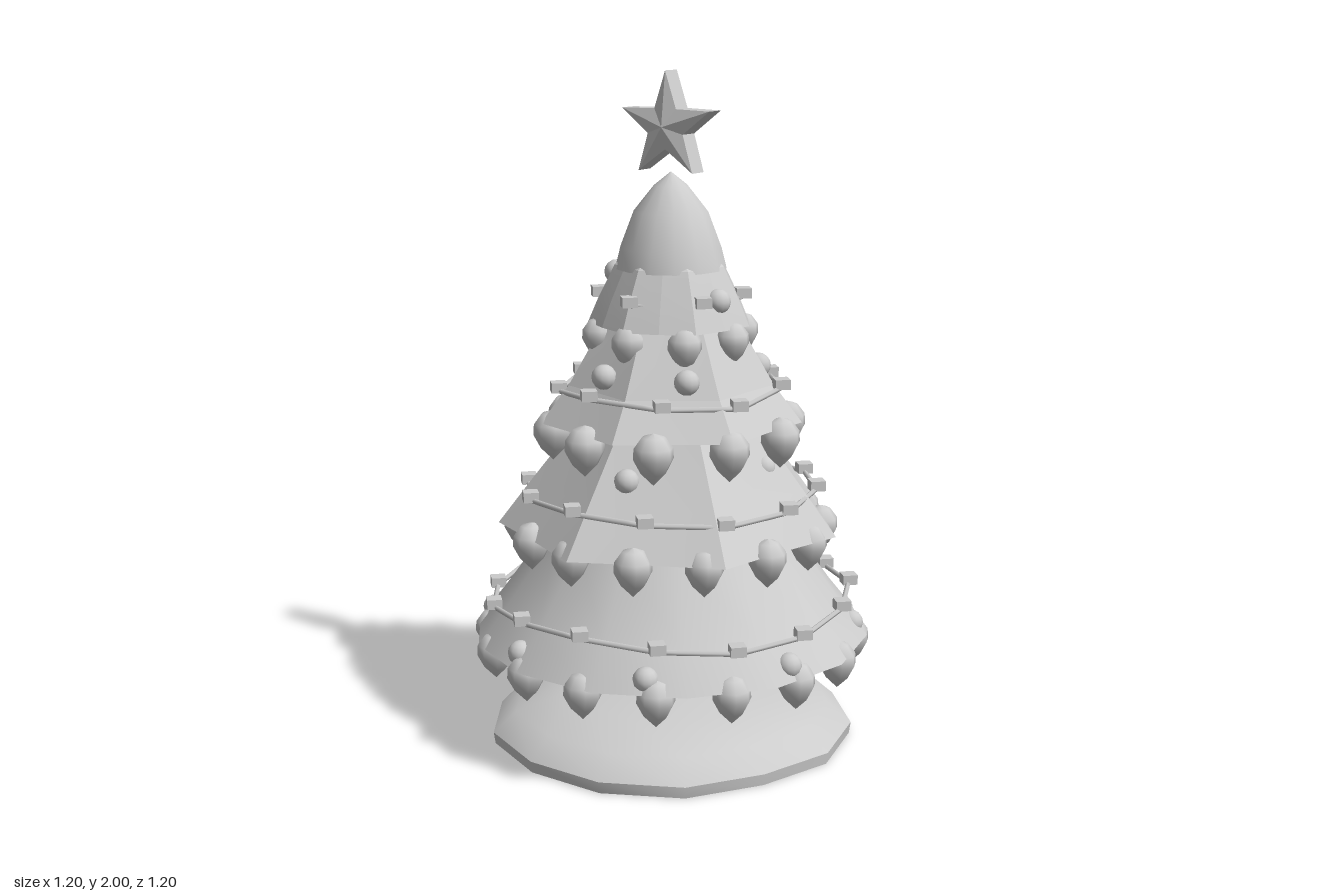
import * as THREE from 'three';
import { toCreasedNormals } from 'three/addons/utils/BufferGeometryUtils.js';

const grey = new THREE.MeshStandardMaterial({ color: 0xcccccc });
grey.name = 'plain grey';

const V2 = (p) => p.map(([r, y]) => new THREE.Vector2(r, y));
const rad = THREE.MathUtils.degToRad;

function add(parent, name, geometry, x = 0, y = 0, z = 0) {
  const mesh = new THREE.Mesh(geometry, grey);
  mesh.name = name;
  mesh.position.set(x, y, z);
  parent.add(mesh);
  return mesh;
}

// Turned shape whose radius varies by a rule of angle and segment index
function turned(profile, sides, phase, radiusRule, crease) {
  const geo = new THREE.LatheGeometry(V2(profile), sides, rad(phase));
  const pos = geo.attributes.position;
  for (let k = 0; k < pos.count; k++) {
    const s = radiusRule(Math.floor(k / profile.length) % sides);
    pos.setX(k, pos.getX(k) * s);
    pos.setZ(k, pos.getZ(k) * s);
  }
  return toCreasedNormals(geo, crease);
}

export function createModel() {
  const tree = new THREE.Group();
  tree.name = 'decoratedTree';

  // Snow mound and trunk
  const mound = [[0, 0], [0.555, 0], [0.56, 0.035], [0.49, 0.095], [0.33, 0.138], [0.14, 0.162], [0, 0.166]];
  add(tree, 'snowMound', turned(mound, 14, 12.86,
    (i) => 0.985 + 0.025 * Math.sin(i * 2.1 + 0.6), 0.8));
  add(tree, 'trunk', new THREE.CylinderGeometry(0.075, 0.075, 0.3, 12), 0, 0.27, 0);

  // Foliage tiers: smooth skirt, two star-shaped tiers, narrow tier, rounded tip
  const tiers = [
    { p: [[0, 0.32], [0.6, 0.32], [0.52, 0.42], [0.36, 0.64], [0.27, 0.78]], phase: 12.86, valley: 1, crease: 0.7 },
    { p: [[0, 0.66], [0.52, 0.66], [0.42, 0.79], [0.27, 0.98], [0.2, 1.08]], phase: 0, valley: 0.89, crease: 0.1 },
    { p: [[0, 0.98], [0.395, 0.98], [0.31, 1.09], [0.21, 1.26], [0.14, 1.37]], phase: 9.6, valley: 0.89, crease: 0.1 },
    { p: [[0, 1.27], [0.245, 1.27], [0.215, 1.34], [0.165, 1.44], [0.1, 1.5]], phase: 0, valley: 0.94, crease: 0.1 },
    { p: [[0, 1.43], [0.165, 1.43], [0.15, 1.49], [0.11, 1.595], [0.05, 1.67], [0, 1.71]], phase: 12.86, valley: 1, crease: 0.7 },
  ];
  tiers.forEach((t, n) => add(tree, 'foliageTier' + (n + 1),
    turned(t.p, 14, t.phase, (i) => (i % 2 ? t.valley : 1), t.crease)));

  // Pointed baubles hanging from each tier's rim
  const baubleGeo = new THREE.LatheGeometry(V2([
    [0, -0.08], [0.035, -0.045], [0.056, -0.005], [0.054, 0.025], [0.032, 0.055], [0, 0.065]]), 8);
  const baubles = new THREE.Group();
  baubles.name = 'hangingBaubles';
  tree.add(baubles);
  [[16, 0.55, 0.295, 7.5, 1], [14, 0.45, 0.64, -5, 1], [10, 0.355, 0.945, -9.6, 1.05], [8, 0.215, 1.23, 0, 0.9]]
    .forEach(([count, r, y, start, size]) => {
      for (let i = 0; i < count; i++) {
        const a = rad(start + 360 * i / count);
        add(baubles, 'bauble', baubleGeo, r * Math.sin(a), y, r * Math.cos(a)).scale.setScalar(size);
      }
    });

  // Round ornaments resting on the foliage: [angle, radius, height]
  const ballGeo = new THREE.SphereGeometry(0.037, 12, 8);
  const balls = new THREE.Group();
  balls.name = 'roundOrnaments';
  tree.add(balls);
  const ballSpots = [
    [-69, 0.165, 1.41], [188, 0.165, 1.41], [218, 0.165, 1.41], [80, 0.19, 1.35],
    [-11, 0.27, 1.14], [44, 0.27, 1.14], [120, 0.26, 1.14], [205, 0.26, 1.14],
    [12, 0.33, 0.86], [95, 0.31, 0.86], [165, 0.32, 0.86], [235, 0.32, 0.86],
    [-6, 0.39, 0.71], [85, 0.33, 0.57], [200, 0.33, 0.57],
  ];
  for (let i = 0; i < 8; i++) ballSpots.push([-18 + 45 * i, 0.55, 0.355]);
  for (const [deg, r, y] of ballSpots) {
    add(balls, 'roundOrnament', ballGeo, r * Math.sin(rad(deg)), y, r * Math.cos(rad(deg)));
  }

  // Garlands: an angular wire joining small square lights
  const lightGeo = new THREE.BoxGeometry(0.045, 0.03, 0.045).rotateY(Math.PI / 4);
  [[15, 0.545, 0.435, 6.3, 0.018], [12, 0.44, 0.765, -5.2, 0.01], [9, 0.335, 1.075, -10, 0.012], [6, 0.212, 1.345, 0, 0]]
    .forEach(([count, r, y, start, wave]) => {
      const garland = new THREE.Group();
      garland.name = 'garland';
      tree.add(garland);
      const spots = [];
      for (let i = 0; i < count; i++) {
        const a = rad(start + 360 * i / count);
        spots.push(new THREE.Vector3(r * Math.sin(a), y + wave * Math.cos(3 * a), r * Math.cos(a)));
      }
      spots.forEach((p) => add(garland, 'light', lightGeo, p.x, p.y + 0.012, p.z));
      const wire = new THREE.CatmullRomCurve3(spots, true, 'catmullrom', 0);
      add(garland, 'wire', new THREE.TubeGeometry(wire, count * 4, 0.008, 5, true));
    });

  // Five-pointed star, thickest at its centre
  const pts = [];
  for (let i = 0; i < 10; i++) {
    const r = i % 2 ? 0.064 : 0.16, a = Math.PI / 2 + i * Math.PI / 5;
    pts.push([r * Math.cos(a), r * Math.sin(a)]);
  }
  const v = [];
  pts.forEach(([x0, y0], i) => {
    const [x1, y1] = pts[(i + 1) % 10], e = 0.03, c = 0.05;
    v.push(0, 0, c, x0, y0, e, x1, y1, e);
    v.push(0, 0, -c, x1, y1, -e, x0, y0, -e);
    v.push(x0, y0, e, x0, y0, -e, x1, y1, -e);
    v.push(x0, y0, e, x1, y1, -e, x1, y1, e);
  });
  const starGeo = new THREE.BufferGeometry();
  starGeo.setAttribute('position', new THREE.Float32BufferAttribute(v, 3));
  starGeo.computeVertexNormals();
  add(tree, 'topStar', starGeo, 0, 1.84, 0);

  return tree;
}
